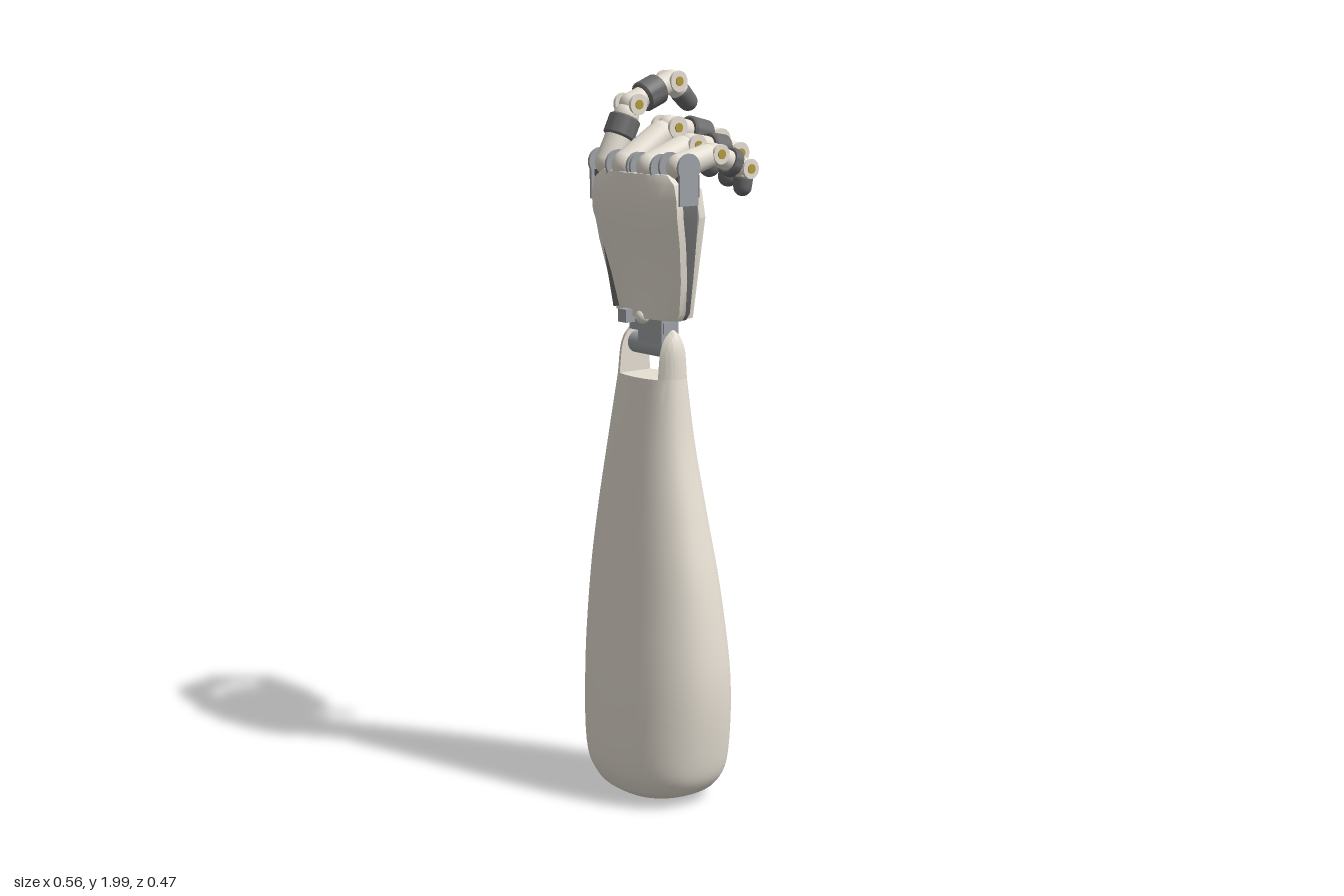
import * as THREE from 'three';
import { toCreasedNormals } from 'three/addons/utils/BufferGeometryUtils.js';

const mat = (color) => new THREE.MeshStandardMaterial({ color, side: THREE.DoubleSide });
const V = (x, y, z) => new THREE.Vector3(x, y, z);
const UP = V(0, 1, 0);

export function createModel() {
  const root = new THREE.Group();
  const cream = mat(0xe6dfd3), dark = mat(0x6c6c6c), silver = mat(0x9ea2a6), gold = mat(0xb59a3a);

  function add(name, geo, material, parent = root) {
    const m = new THREE.Mesh(geo, material);
    m.name = name;
    parent.add(m);
    return m;
  }

  // Closed skin through rings of points that run counter-clockwise seen from above
  function loft(rings, crease = 0.6) {
    const pos = [], n = rings[0].length;
    const tri = (...p) => p.forEach((q) => pos.push(q.x, q.y, q.z));
    for (let i = 0; i < rings.length - 1; i++) {
      for (let j = 0; j < n; j++) {
        const k = (j + 1) % n, a = rings[i], b = rings[i + 1];
        tri(a[j], a[k], b[k]);
        tri(a[j], b[k], b[j]);
      }
    }
    [rings[0], rings[rings.length - 1]].forEach((r, top) => {
      const c = r.reduce((s, p) => s.add(p), V(0, 0, 0)).divideScalar(n);
      for (let j = 0; j < n; j++) {
        const k = (j + 1) % n;
        if (top) tri(c, r[j], r[k]); else tri(c, r[k], r[j]);
      }
    });
    const g = new THREE.BufferGeometry();
    g.setAttribute('position', new THREE.Float32BufferAttribute(pos, 3));
    return toCreasedNormals(g, crease);
  }

  // Smoothly resample sections given as [y, left, right, front, back]
  function resample(sections, steps) {
    const a = new THREE.CatmullRomCurve3(sections.map((s) => V(s[1], s[0], s[3])), false, 'catmullrom');
    const b = new THREE.CatmullRomCurve3(sections.map((s) => V(s[2], s[0], s[4])), false, 'catmullrom');
    return Array.from({ length: steps + 1 }, (_, i) => {
      const p = a.getPoint(i / steps), q = b.getPoint(i / steps);
      return [p.y, p.x, q.x, p.z, q.z];
    });
  }

  // Super-ellipse ring; with a cut plane only the part beyond that x is kept
  function oval([y, xl, xr, zf, zb], n, cut) {
    const cx = (xl + xr) / 2, ax = (xr - xl) / 2, cz = (zf + zb) / 2, az = (zf - zb) / 2;
    const pow = (v) => Math.sign(v) * Math.abs(v) ** (2 / n);
    let mid = 0, half = Math.PI;
    if (cut !== undefined) {
      const u = (cut - cx) / ax;
      mid = u > 0 ? 0 : Math.PI;
      half = Math.acos(Math.min(1, Math.abs(u)) ** (n / 2));
    }
    const count = 48, div = cut === undefined ? count : count - 1;
    return Array.from({ length: count }, (_, i) => {
      const t = mid - half + (2 * half * i) / div;
      return V(cx + ax * pow(Math.cos(t)), y, cz - az * pow(Math.sin(t)));
    });
  }

  // Forearm with two prongs around an open wrist slot
  const arm = [[0, -0.04, 0.1, 0.14, 0.02], [0.015, -0.1, 0.17, 0.185, -0.035], [0.05, -0.15, 0.225, 0.22, -0.075],
    [0.13, -0.185, 0.255, 0.24, -0.1], [0.35, -0.205, 0.275, 0.228, -0.09], [0.6, -0.2, 0.245, 0.2, -0.065],
    [0.8, -0.175, 0.2, 0.177, -0.042], [1, -0.14, 0.155, 0.153, -0.02], [1.18, -0.11, 0.13, 0.13, 0]];
  add('forearm', loft(resample(arm, 40).map((s) => oval(s, 2.25))), cream);
  const prong = [[1.18, -0.11, 0.13, 0.13, 0], [1.25, -0.105, 0.127, 0.122, 0.007],
    [1.285, -0.095, 0.118, 0.108, 0.02], [1.305, -0.082, 0.108, 0.085, 0.04], [1.312, -0.07, 0.099, 0.07, 0.055]];
  for (const x of [-0.065, 0.095]) add('wristProng', loft(resample(prong, 12).map((s) => oval(s, 2.25, x))), cream);

  const box = (name, w, h, d, x, y, z, m) => {
    const b = add(name, new THREE.BoxGeometry(w, h, d), m);
    b.position.set(x, y, z);
    return b;
  };
  function pin(name, r, len, x, y, z, m, parent) {
    const p = add(name, new THREE.CylinderGeometry(r, r, len, 24), m, parent);
    p.rotation.z = Math.PI / 2;
    p.position.set(x, y, z);
  }

  // Wrist hinge, its block and the small fittings
  pin('wristHinge', 0.03, 0.16, 0.015, 1.262, 0.06, silver);
  box('wristBlock', 0.1, 0.09, 0.06, 0.03, 1.315, 0.06, silver);
  box('wristFlange', 0.15, 0.03, 0.05, 0.01, 1.315, 0.06, silver);
  box('wristFitting', 0.036, 0.036, 0.03, -0.04, 1.342, 0.115, silver);
  box('looseFitting', 0.036, 0.036, 0.03, -0.168, 1.22, -0.015, silver).rotation.set(0.2, 0.3, 0.2);
  add('wristBall', new THREE.SphereGeometry(0.02, 20, 14), cream).position.set(0.012, 1.343, 0.1);

  // Palm: arched outer shell, dark core, back frame with pads
  const palm = [[1.34, -0.1, 0.13, 0.11], [1.36, -0.115, 0.145, 0.111], [1.45, -0.14, 0.16, 0.118], [1.55, -0.165, 0.175, 0.135],
    [1.62, -0.18, 0.183, 0.15], [1.67, -0.18, 0.183, 0.153], [1.71, -0.168, 0.172, 0.152], [1.735, -0.135, 0.14, 0.15]];
  const shellRing = ([y, xl, xr, zf]) => {
    const edge = (back) => Array.from({ length: 13 }, (_, i) => {
      const u = back ? 1 - i / 6 : i / 6 - 1;
      return V((xl + xr) / 2 + (u * (xr - xl)) / 2, y, zf - 0.03 * u * u - back * 0.022);
    });
    return [...edge(0), ...edge(1)];
  };
  add('palmShell', loft(palm.map(shellRing)), cream);
  add('palmCore', loft(palm.slice(0, 7).map(([y, xl, xr, zf]) => oval([y, xl + 0.006, xr - 0.006, zf - 0.024, 0.03], 7))), dark);

  function plate(name, pts, z, depth, bevel, m) {
    const g = new THREE.ExtrudeGeometry(new THREE.Shape(pts.map((p) => new THREE.Vector2(...p))), {
      depth, bevelEnabled: true, bevelSize: bevel, bevelThickness: bevel * 0.6, bevelSegments: 3 });
    add(name, toCreasedNormals(g, 0.5), m).position.z = z;
  }
  plate('palmBackFrame', [[-0.09, 1.35], [0.12, 1.35], [0.17, 1.62], [0.155, 1.69], [-0.15, 1.69], [-0.165, 1.62]], 0.018, 0.018, 0.006, cream);
  plate('palmPad', [[0.03, 1.57], [0.14, 1.56], [0.15, 1.61], [0.13, 1.67], [0.03, 1.675]], 0.008, 0.008, 0.01, dark);
  plate('palmPad', [[-0.12, 1.57], [-0.005, 1.57], [-0.005, 1.675], [-0.12, 1.67]], 0.008, 0.008, 0.01, dark);
  plate('palmPad', [[0.03, 1.39], [0.1, 1.37], [0.135, 1.525], [0.03, 1.535]], 0.008, 0.008, 0.01, dark);
  plate('palmPad', [[-0.07, 1.37], [-0.005, 1.39], [-0.005, 1.535], [-0.115, 1.535]], 0.008, 0.008, 0.01, dark);

  // Round-ended tapered limb between two points
  function limb(name, a, b, ra, rb, m, parent) {
    const d = b.clone().sub(a), len = d.length(), pts = [];
    for (const [r, y0, s] of [[ra, 0, -1], [rb, len, 0]]) {
      for (let i = 0; i <= 7; i++) {
        const t = ((s + i / 7) * Math.PI) / 2;
        pts.push(new THREE.Vector2(Math.max(0, r * Math.cos(t)), y0 + r * Math.sin(t)));
      }
    }
    const o = add(name, new THREE.LatheGeometry(pts, 24), m, parent);
    o.position.copy(a);
    o.quaternion.setFromUnitVectors(UP, d.normalize());
  }
  // Chamfered sleeve around the line from a to b
  function sleeve(a, b, t, r, len, parent) {
    const h = len / 2, c = 0.005;
    const pts = [[0, -h], [r - c, -h], [r, c - h], [r, h - c], [r - c, h], [0, h]].map((p) => new THREE.Vector2(...p));
    const o = add('sleeve', toCreasedNormals(new THREE.LatheGeometry(pts, 32), 0.5), dark, parent);
    o.position.lerpVectors(a, b, t);
    o.quaternion.setFromUnitVectors(UP, b.clone().sub(a).normalize());
  }

  // Jointed finger: p = knuckle, middle joint, end joint, tip
  function finger(name, p, r, s1, s2, len) {
    const g = new THREE.Group();
    g.name = name;
    root.add(g);
    const [k, j, e, t] = p;
    limb('lowerSegment', k, k.clone().lerp(j, 0.8), r, r * 0.92, cream, g);
    limb('middleSegment', j, e, r * 0.8, r * 0.8, cream, g);
    limb('endSegment', e, t, r * 0.8, r * 0.62, cream, g);
    limb('fingertip', e.clone().lerp(t, 0.6), t, r * 0.76, r * 0.7, dark, g);
    if (s1) sleeve(k, j, s1, r * 1.14, 0.06, g);
    if (s2) sleeve(j, e, s2, r * 1.1, len, g);
    for (const [q, w] of [[j, 0.88], [e, 0.8]]) {
      for (const s of [-1, 1]) pin('jointCheek', r * 0.75, r * 0.22, q.x + s * r * w, q.y, q.z, cream, g);
      pin('jointBolt', 0.013, r * (2 * w + 0.35), q.x, q.y, q.z, gold, g);
    }
  }

  // Fingers as x, radius, sleeve positions, sleeve length, then [y, z] per joint
  const fingers = [
    ['indexFinger', -0.145, 0.039, 0.6, 0.48, 0.065, [[1.75, 0.09], [1.905, 0.015], [1.963, -0.13], [1.905, -0.19]]],
    ['middleFinger', -0.045, 0.042, 0, 0.6, 0.07, [[1.75, 0.107], [1.845, -0.04], [1.805, -0.198], [1.73, -0.185]]],
    ['ringFinger', 0.052, 0.04, 0, 0.6, 0.06, [[1.75, 0.103], [1.803, -0.03], [1.775, -0.185], [1.71, -0.17]]],
    ['littleFinger', 0.146, 0.036, 0, 0.6, 0.028, [[1.755, 0.083], [1.785, -0.035], [1.74, -0.143], [1.69, -0.14]]],
  ];
  for (const [name, x, r, s1, s2, len, joints] of fingers) {
    finger(name, joints.map(([y, z]) => V(x, y, z)), r, s1, s2, len);
    // Bracket plates on both sides of the knuckle
    const [y, z] = joints[0];
    for (const s of [-1, 1]) {
      const px = x + s * (r + 0.003);
      pin('knucklePlate', 0.038, 0.007, px, y, z, silver);
      box('knuckleBracket', 0.007, 0.1, 0.064, px, y - 0.05, z, silver);
    }
    box('knuckleBase', 2 * r, 0.06, 0.06, x, y - 0.05, z - 0.01, dark);
  }

  // Thumb housing with front panel, then the thumb
  const housing = [[1.335, -0.19, -0.125, 0.03, -0.035], [1.53, -0.25, -0.165, 0.044, -0.125], [1.64, -0.28, -0.19, 0.046, -0.065]];
  add('thumbHousing', loft(housing.map(([y, l, r, f, b]) => [V(l, y, f), V(r, y + 0.02, f), V(r, y + 0.02, b), V(l, y, b)]), 0.3), cream);
  plate('thumbPanel', [[-0.178, 1.35], [-0.128, 1.36], [-0.172, 1.53], [-0.232, 1.55]], 0.042, 0.006, 0.004, dark);
  pin('thumbBolt', 0.018, 0.1, -0.2, 1.53, -0.112, gold);
  finger('thumb', [V(-0.2, 1.54, -0.09), V(-0.208, 1.7, -0.15), V(-0.175, 1.77, -0.18), V(-0.115, 1.8, -0.2)], 0.045, 0.52, 0, 0);

  return root;
}
